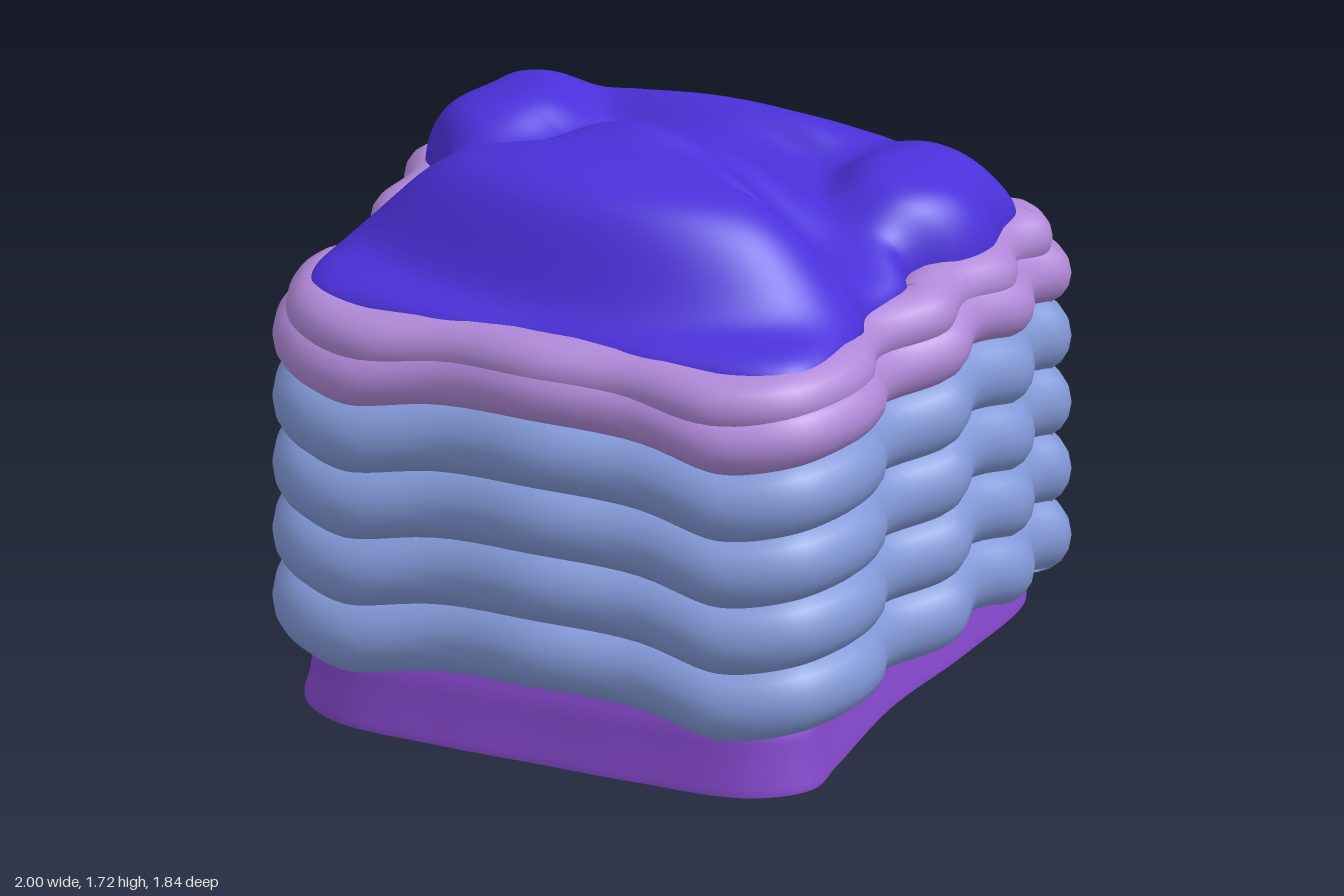
import * as THREE from 'three';

// Half outlines run from back centre round the +x side to front centre
const RING = [[0, -.03, -.905], [.1, -.02, -.92], [.3, -.02, -.87], [.47, -.02, -.91], [.66, -.035, -.85],
  [.85, -.045, -.87], [.96, -.04, -.75], [.92, -.02, -.6], [1, -.005, -.4], [.935, .02, -.2], [.955, -.01, -.04],
  [.85, -.02, .2], [.93, .02, .45], [.925, .02, .6], [.83, .01, .8], [.6, -.01, .91], [.3, .03, .88], [0, .05, .915]];
const CUP = [[0, 0, -.84], [.45, 0, -.845], [.75, 0, -.8], [.85, 0, -.68], [.84, 0, -.3], [.79, 0, .1],
  [.805, 0, .5], [.805, 0, .67], [.66, 0, .79], [.3, 0, .82], [0, 0, .82]];
const TOP = [[0, 0, -.8], [.4, 0, -.81], [.52, 0, -.825], [.62, 0, -.77], [.76, 0, -.73], [.83, 0, -.66],
  [.84, 0, -.55], [.885, 0, -.36], [.85, 0, -.24], [.75, 0, -.1], [.79, 0, 0], [.76, 0, .2], [.8, 0, .32],
  [.82, 0, .6], [.75, 0, .73], [.4, 0, .8], [0, 0, .785]];

const UP = new THREE.Vector3(0, 1, 0);

// Mirror a half outline into a closed smooth curve
function outline(half) {
  const mirrored = half.slice(1, -1).reverse().map(([x, y, z]) => [-x, y, z]);
  const pts = [...half, ...mirrored].map(p => new THREE.Vector3(...p));
  return new THREE.CatmullRomCurve3(pts, true);
}

// Skin a grid closed round u; closedV joins the last row to the first
function skin(nu, nv, closedV, point) {
  const pos = [], index = [];
  for (let j = 0; j < nv; j++) for (let i = 0; i < nu; i++) pos.push(...point(i, j));
  for (let j = 0; j < (closedV ? nv : nv - 1); j++) {
    for (let i = 0; i < nu; i++) {
      const k = (i + 1) % nu, m = (j + 1) % nv;
      const a = j * nu + i, b = j * nu + k, c = m * nu + k, d = m * nu + i;
      index.push(a, c, b, a, d, c);
    }
  }
  const geo = new THREE.BufferGeometry();
  geo.setAttribute('position', new THREE.Float32BufferAttribute(pos, 3));
  geo.setIndex(index);
  geo.computeVertexNormals();
  return geo;
}

// Wavy oval tube whose outer side follows the ring outline
function ringGeometry(y, width, height, scale, wave) {
  const curve = outline(RING), nu = 220, nv = 18;
  const frames = Array.from({ length: nu }, (_, i) => {
    const p = curve.getPoint(i / nu), t = curve.getTangent(i / nu).setY(0).normalize();
    const n = new THREE.Vector3().crossVectors(UP, t);
    const c = new THREE.Vector3(p.x * scale, y + p.y * wave, p.z * scale).addScaledVector(n, -width);
    return { c, n };
  });
  return skin(nu, nv, true, (i, j) => {
    const v = j / nv * Math.PI * 2, { c, n } = frames[i];
    const r = width * Math.cos(v);
    return [c.x + n.x * r, c.y + height * Math.sin(v), c.z + n.z * r];
  });
}

// Tilted flat base with slightly fluted walls, narrowing inside the layers
function cupGeometry() {
  const nu = 160, curve = outline(CUP), pts = Array.from({ length: nu }, (_, i) => curve.getPoint(i / nu));
  // [outline scale, height blend]; repeated rows keep the rim sharp
  const rows = [[.001, 0], [.6, 0], [1, 0], [1, 0], [1, .02], [.985, .06], [.975, .12], [.965, .17], [.9, .25], [.9, 1]];
  return skin(nu, rows.length, false, (i, j) => {
    const [s, h] = rows[j], x = pts[i].x * s, z = pts[i].z * s;
    return [x, THREE.MathUtils.lerp(.0435 - .053 * z, 1.25, h), z];
  });
}

// Soft bump used to sculpt the topping; a higher power gives steeper sides
function bump(x, z, cx, cz, rx, rz, h, power = 2) {
  const d = ((x - cx) / rx) ** 2 + ((z - cz) / rz) ** 2;
  return h * Math.exp(-(d ** power));
}

function topHeight(x, z) {
  const ax = Math.abs(x);
  const crown = 1 - .5 * x * x - 1.4 * (z - .36) ** 2;
  let y = 1.385;
  y += bump(x, z, 0, .34, .69, .325, .315 * crown, 3); // front dome
  y += bump(x, z, 0, -.04, .46, .17, .14);       // shoulder behind the dome
  y += bump(ax, z, .7, -.37, .27, .31, .15);     // side lobes
  y += bump(x, z, 0, -.62, .58, .17, .11);       // back ridge
  y += bump(x, z, 0, -.3, .52, .3, .09);         // middle plateau
  y += bump(ax, z, .45, .2, .16, .06, -.05);     // creases in the dome
  // Curved grooves between the back ridge and the shoulder
  for (const [rx, rz, depth] of [[.46, .33, .02], [.32, .13, .02]]) {
    const arc = Math.hypot(x / rx, (z + .16) / rz) - 1;
    if (z < -.16) y -= depth * Math.exp(-((arc / .14) ** 2)) * Math.min(1, (-.16 - z) / .12);
  }
  return y;
}

// Sculpted topping with a rounded rim and a hidden skirt tucked into the layers
function toppingGeometry() {
  const nu = 220, nv = 60, rim = 1.285;
  const curve = outline(TOP), pts = Array.from({ length: nu }, (_, i) => curve.getPoint(i / nu));
  return skin(nu, nv + 1, false, (i, j) => {
    if (j === 0) return [pts[i].x * .97, 1.19, pts[i].z * .97];
    const t = Math.max(.001, Math.cos(((j - 1) / (nv - 1)) * Math.PI / 2));
    const x = pts[i].x * t, z = pts[i].z * t;
    return [x, rim + (topHeight(x, z) - rim) * Math.sqrt(1 - t ** 9), z];
  });
}

export function createModel() {
  const group = new THREE.Group();
  const material = color => new THREE.MeshStandardMaterial({ color });
  const violet = material(0x8548cc), blue = material(0x8299d8);
  const pink = material(0xb089d8), indigo = material(0x4b30da);
  const add = (name, geometry, mat) => {
    const mesh = new THREE.Mesh(geometry, mat);
    mesh.name = name;
    group.add(mesh);
    return mesh;
  };

  add('base', cupGeometry(), violet);
  // Stacked wavy layers
  for (let i = 0; i < 4; i++) {
    add(`blueLayer${i + 1}`, ringGeometry(.31 + .208 * i, .122, .122, 1, 1), blue);
  }
  add('pinkLayer', ringGeometry(1.13, .12, .105, 1, 1), pink);
  // Narrower rim, set slightly forward
  add('pinkRim', ringGeometry(1.228, .1, .088, .96, .4), pink).position.z = .015;
  add('topping', toppingGeometry(), indigo);
  return group;
}
